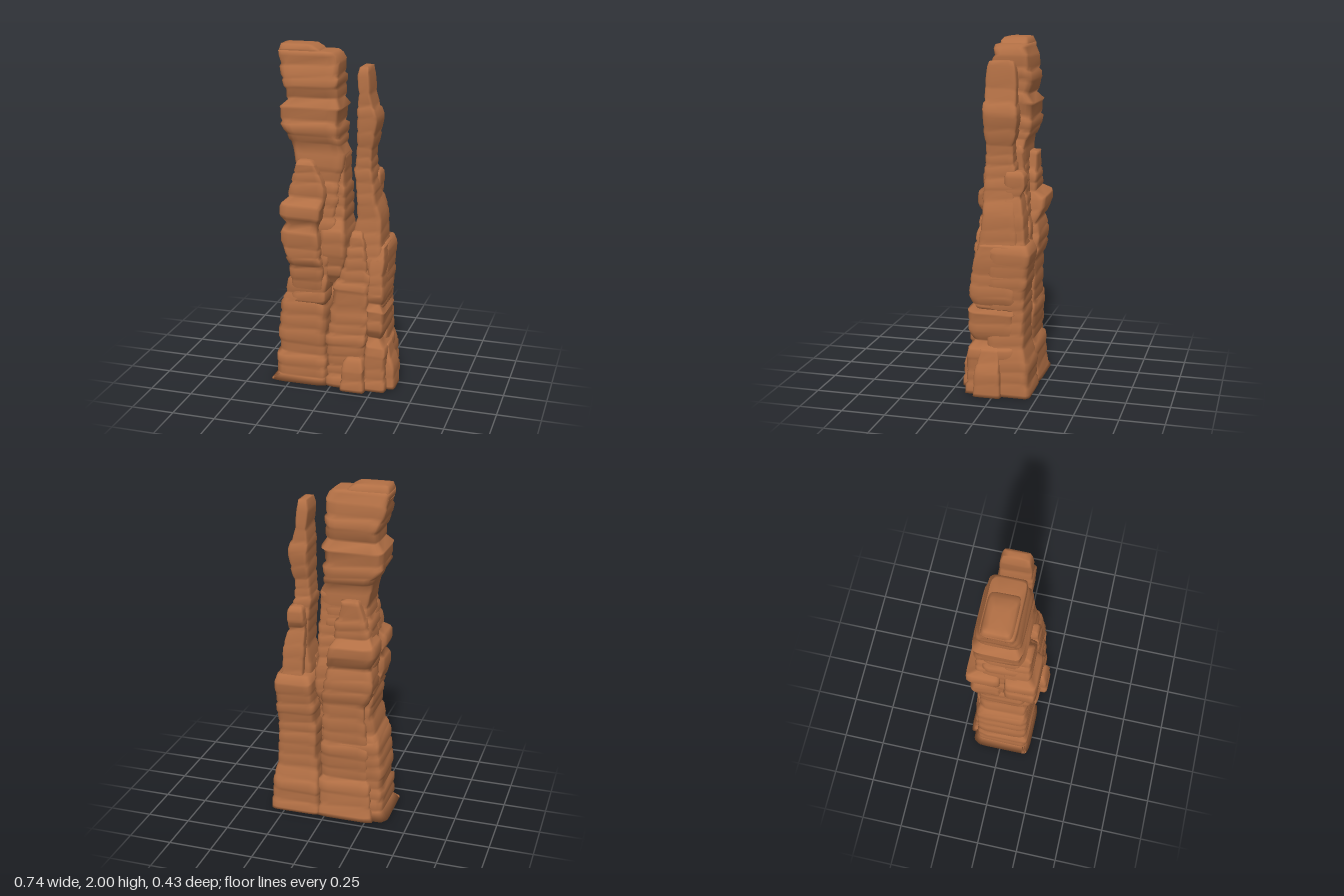
import * as THREE from 'three';

const SIDES = 28;

function seeded(seed) {
  let s = seed * 7919 + 17;
  return () => ((s = (s * 16807) % 2147483647) / 2147483647);
}

// Boxy, weathered column through rows of [y, xMin, xMax, zMin, zMax]
function rockColumn(name, material, rows, seed, rough = 0.014) {
  const rand = seeded(seed);
  rand(); rand();

  // strata: each one is a band with its own step, shift and worn corners, over a thin notch
  const rings = [];
  const blend = (a, b, t) => a.map((v, j) => v + (b[j] - v) * t);
  for (let i = 0; i < rows.length - 1; i++) {
    const rise = rows[i + 1][0] - rows[i][0];
    const steps = Math.max(1, Math.round(rise / 0.075));
    for (let k = 0; k < steps; k++) {
      const step = rand() * rough, phase = rand() * 6.28;
      const dx = (rand() - 0.5) * rough * 0.7, dz = (rand() - 0.5) * rough * 0.7;
      const cuts = rise / steps > 0.045 ? [0, 0.25, 0.8] : [0];
      cuts.forEach((c, n) => rings.push({
        row: blend(rows[i], rows[i + 1], (k + c) / steps), phase, dx, dz,
        step: step + (cuts.length > 1 && n === 0 ? rough * 0.6 : 0),
      }));
    }
  }
  const plain = { step: 0, phase: seed, dx: 0, dz: 0 };
  const last = rows[rows.length - 1];
  rings[0] = { row: rows[0], ...plain };
  rings.push({ row: last, ...plain });

  // worn top: a narrower ring, slightly higher and off centre
  const [y, x0, x1, z0, z1] = last;
  const mx = (x1 - x0) * 0.2, mz = (z1 - z0) * 0.2;
  rings.push({ row: [y + 0.004, x0 + mx * 0.7, x1 - mx * 1.3, z0 + mz, z1 - mz], ...plain });

  const pos = [], index = [];
  const soft = (c) => Math.sign(c) * Math.pow(Math.abs(c), 0.25);
  rings.forEach(({ row, step, phase, dx, dz }, r) => {
    const [h, xa, xb, za, zb] = row;
    const flat = r === 0 || r >= rings.length - 2;
    for (let i = 0; i < SIDES; i++) {
      const a = (i + 0.5) / SIDES * Math.PI * 2;
      const wave = 1 - rough * (1.2 + Math.sin(a * 3 + phase) + 0.8 * Math.sin(a * 7 + phase * 2));
      // beds slope a little, and the slope turns with height
      const tilt = flat ? 0 : Math.sin(a + seed + h * 6) * Math.min(0.012, h * 0.2, (y - h) * 0.3);
      pos.push((xa + xb) / 2 + dx + soft(Math.cos(a)) * ((xb - xa) / 2 - step) * wave, h + tilt,
        (za + zb) / 2 + dz + soft(Math.sin(a)) * ((zb - za) / 2 - step) * wave);
    }
  });
  for (let r = 0; r < rings.length - 1; r++) {
    for (let i = 0; i < SIDES; i++) {
      const a = r * SIDES + i, b = r * SIDES + (i + 1) % SIDES;
      index.push(a, a + SIDES, b, b, a + SIDES, b + SIDES);
    }
  }
  // smooth top and underside
  const topRing = (rings.length - 1) * SIDES, mid = pos.length / 3;
  const [fy, fx0, fx1, fz0, fz1] = rows[0];
  pos.push((x0 + x1) / 2, y + 0.004, (z0 + z1) / 2, (fx0 + fx1) / 2, fy, (fz0 + fz1) / 2);
  for (let i = 0; i < SIDES; i++) {
    const n = (i + 1) % SIDES;
    index.push(topRing + i, mid, topRing + n, i, n, mid + 1);
  }
  const geometry = new THREE.BufferGeometry();
  geometry.setAttribute('position', new THREE.Float32BufferAttribute(pos, 3));
  geometry.setIndex(index);
  geometry.computeVertexNormals();
  const mesh = new THREE.Mesh(geometry, material);
  mesh.name = name;
  return mesh;
}

export function createModel() {
  const group = new THREE.Group();
  group.name = 'rockSpires';
  const stone = new THREE.MeshStandardMaterial({ color: 0xb37045 });
  stone.name = 'red sandstone';
  const add = (name, rows, seed, rough) => group.add(rockColumn(name, stone, rows, seed, rough));

  // tall tower on the model's right
  add('mainTower', [
    [0, -0.375, -0.02, -0.18, 0.19], [0.04, -0.35, -0.02, -0.17, 0.18],
    [0.25, -0.345, -0.03, -0.16, 0.17], [0.5, -0.325, -0.03, -0.17, 0.17],
    [0.55, -0.295, -0.03, -0.15, 0.155], [0.66, -0.275, -0.01, -0.16, 0.155],
    [0.8, -0.28, 0.0, -0.15, 0.15], [1.1, -0.27, 0.03, -0.13, 0.12],
    [1.3, -0.24, 0.05, -0.12, 0.11], [1.4, -0.255, 0.055, -0.115, 0.1],
    [1.44, -0.27, 0.04, -0.13, 0.11], [1.49, -0.285, 0.035, -0.15, 0.125],
    [1.56, -0.325, 0.04, -0.155, 0.13], [1.65, -0.325, 0.045, -0.155, 0.13],
    [1.69, -0.3, 0.03, -0.13, 0.11], [1.76, -0.295, 0.025, -0.15, 0.125],
    [1.82, -0.315, 0.03, -0.14, 0.115], [1.9, -0.335, 0.03, -0.13, 0.09],
    [1.94, -0.335, 0.015, -0.105, 0.09], [1.962, -0.335, -0.01, -0.1, 0.085],
  ], 3, 0.012);
  add('towerCap', [
    [1.92, -0.33, -0.05, -0.1, 0.08], [1.97, -0.335, -0.1, -0.095, 0.075],
    [1.996, -0.325, -0.135, -0.08, 0.06],
  ], 8, 0.005);

  // buttresses on the tower's front and back
  add('frontButtress', [
    [0.5, -0.25, -0.04, 0.0, 0.15], [0.74, -0.26, -0.04, 0.0, 0.175],
    [0.8, -0.28, -0.05, 0.0, 0.205], [0.86, -0.3, -0.05, 0.0, 0.2],
    [0.95, -0.3, -0.06, 0.0, 0.205], [0.98, -0.275, -0.07, 0.0, 0.18],
    [1.02, -0.31, -0.045, 0.0, 0.21], [1.1, -0.305, -0.04, 0.0, 0.205],
    [1.13, -0.27, -0.04, 0.0, 0.165], [1.22, -0.25, -0.04, 0.0, 0.165],
    [1.28, -0.235, -0.07, 0.0, 0.16], [1.33, -0.22, -0.1, 0.01, 0.155],
    [1.355, -0.205, -0.12, 0.02, 0.14],
  ], 5, 0.012);
  add('backButtress', [
    [0, -0.3, 0.06, -0.21, 0], [0.25, -0.27, 0.05, -0.175, 0],
    [0.55, -0.25, 0.04, -0.18, 0], [0.72, -0.24, 0.04, -0.18, 0],
    [0.8, -0.28, 0.03, -0.2, 0], [0.88, -0.29, 0.02, -0.205, 0],
    [0.95, -0.27, 0.01, -0.185, 0], [1.02, -0.3, 0.0, -0.215, 0],
    [1.1, -0.295, -0.02, -0.215, 0], [1.13, -0.26, -0.03, -0.165, 0],
    [1.25, -0.23, -0.05, -0.165, 0], [1.35, -0.19, -0.08, -0.16, 0],
  ], 11, 0.012);
  add('innerButtress', [
    [0.62, -0.06, 0.01, -0.1, 0.08], [0.68, -0.08, 0.05, -0.13, 0.115],
    [0.8, -0.08, 0.08, -0.16, 0.14], [0.95, -0.08, 0.08, -0.16, 0.14],
    [1.01, -0.08, 0.065, -0.14, 0.1], [1.2, -0.08, 0.068, -0.13, 0.09],
    [1.36, -0.08, 0.06, -0.11, 0.07], [1.4, -0.08, 0.045, -0.1, 0.06],
  ], 6, 0.008);

  // slim spire on the model's left
  add('slimSpire', [
    [0.5, 0.06, 0.3, -0.15, 0.13], [0.8, 0.09, 0.295, -0.14, 0.12],
    [0.95, 0.1, 0.285, -0.13, 0.1], [1.04, 0.12, 0.278, -0.12, 0.09],
    [1.12, 0.12, 0.25, -0.11, 0.09], [1.25, 0.115, 0.225, -0.1, 0.08],
    [1.32, 0.105, 0.22, -0.1, 0.08], [1.44, 0.12, 0.22, -0.09, 0.08],
    [1.52, 0.12, 0.235, -0.11, 0.09], [1.6, 0.12, 0.25, -0.12, 0.09],
    [1.66, 0.12, 0.23, -0.11, 0.085], [1.74, 0.13, 0.205, -0.105, 0.085],
    [1.85, 0.12, 0.195, -0.095, 0.075], [1.885, 0.135, 0.188, -0.08, 0.06],
  ], 9, 0.007);
  add('spireShoulder', [
    [0.8, 0.13, 0.28, -0.18, -0.03], [1.05, 0.13, 0.265, -0.16, -0.03],
    [1.15, 0.13, 0.24, -0.14, -0.04], [1.2, 0.13, 0.24, -0.165, -0.04],
    [1.265, 0.14, 0.24, -0.16, -0.04], [1.28, 0.15, 0.225, -0.14, -0.05],
  ], 4, 0.007);

  // stepped base around the slim spire
  add('frontBlock', [
    [0, -0.04, 0.22, -0.05, 0.175], [0.2, -0.045, 0.22, -0.05, 0.175],
    [0.34, -0.03, 0.22, -0.05, 0.17], [0.48, -0.02, 0.23, -0.05, 0.16],
    [0.52, -0.015, 0.23, -0.05, 0.18], [0.61, -0.005, 0.23, -0.05, 0.175],
    [0.66, 0.035, 0.23, -0.05, 0.16], [0.8, 0.075, 0.22, -0.05, 0.155],
    [0.92, 0.095, 0.19, -0.03, 0.14], [0.95, 0.11, 0.175, -0.02, 0.12],
  ], 13);
  add('frontFoot', [
    [0, 0.065, 0.215, 0.05, 0.218], [0.14, 0.07, 0.21, 0.05, 0.215],
    [0.18, 0.08, 0.205, 0.05, 0.205], [0.2, 0.1, 0.19, 0.05, 0.185],
  ], 2, 0.006);
  add('backBlock', [
    [0, 0.03, 0.34, -0.212, 0.05], [0.2, 0.04, 0.335, -0.2, 0.05],
    [0.28, 0.05, 0.315, -0.175, 0.05], [0.5, 0.06, 0.305, -0.175, 0.05],
    [0.7, 0.07, 0.31, -0.19, 0.05], [0.84, 0.08, 0.31, -0.205, 0.04],
    [0.875, 0.1, 0.295, -0.185, 0.02],
  ], 7, 0.008);
  add('sideBlock', [
    [0, 0.18, 0.33, -0.12, 0.175], [0.22, 0.19, 0.33, -0.12, 0.17],
    [0.28, 0.2, 0.325, -0.12, 0.155], [0.32, 0.2, 0.295, -0.12, 0.13],
    [0.37, 0.2, 0.315, -0.12, 0.16], [0.49, 0.2, 0.315, -0.12, 0.16],
    [0.52, 0.2, 0.295, -0.12, 0.13], [0.58, 0.2, 0.315, -0.12, 0.155],
    [0.7, 0.21, 0.305, -0.12, 0.14], [0.8, 0.21, 0.312, -0.12, 0.12],
    [0.87, 0.22, 0.3, -0.1, 0.09],
  ], 15, 0.008);
  add('sideFoot', [
    [0, 0.22, 0.372, -0.05, 0.115], [0.14, 0.22, 0.368, -0.045, 0.112],
    [0.2, 0.23, 0.345, -0.04, 0.1], [0.27, 0.24, 0.325, -0.03, 0.08],
  ], 21, 0.005);

  return group;
}
